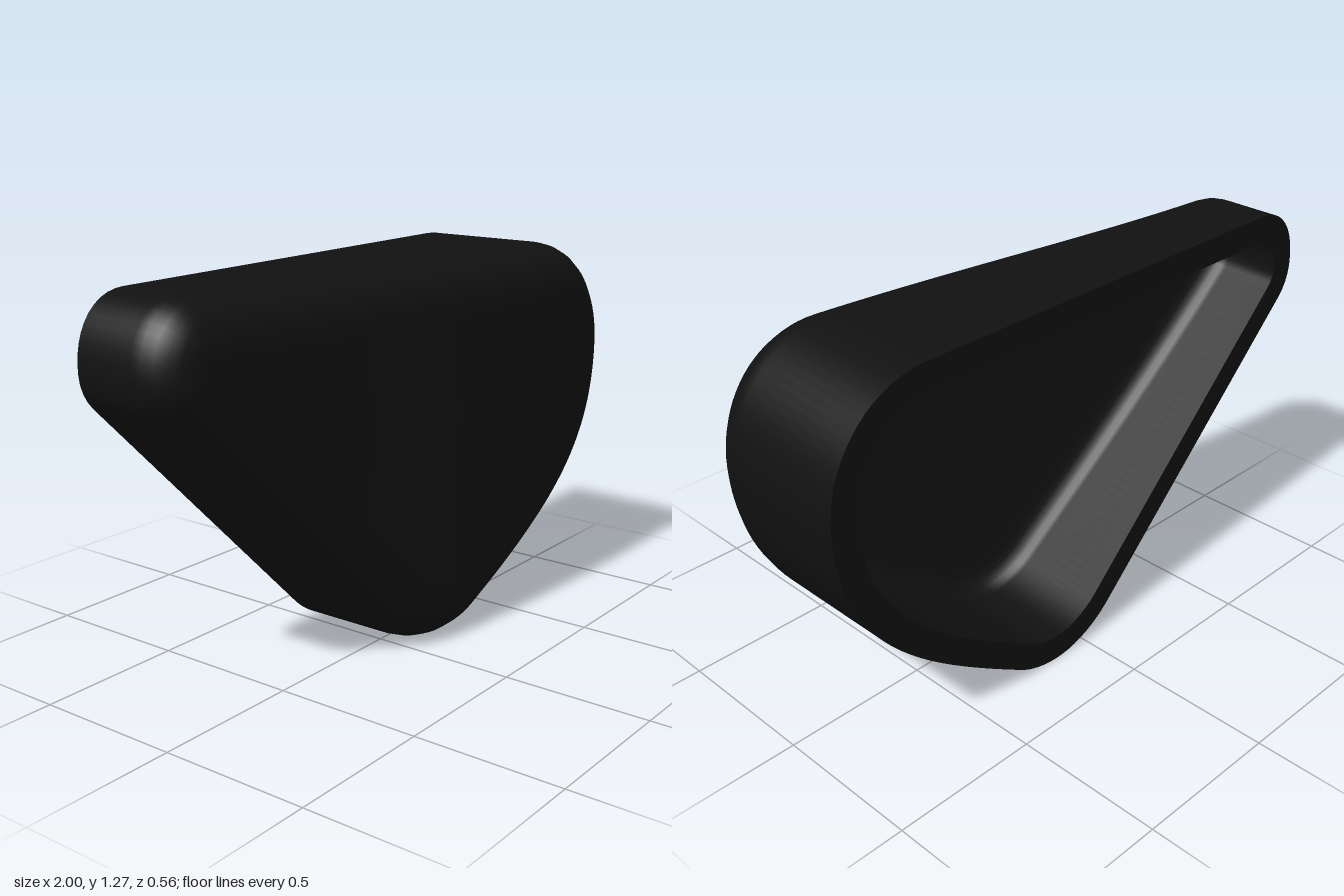
import * as THREE from 'three';

const BACK = -0.28;
const WALL = 0.09;
const CENTRE = new THREE.Vector2(0.2, 0.8);

// Rounded triangular outline, clockwise from the front
function makeOutline(count) {
  const s = new THREE.Shape();
  s.moveTo(-0.82, 1.275);
  s.lineTo(0.65, 1.275);
  s.bezierCurveTo(0.86, 1.275, 1, 1.1, 1, 0.9);
  s.bezierCurveTo(1, 0.5, 0.72, 0.3, 0.3, 0.045);
  s.bezierCurveTo(0.25, 0.015, 0.19, 0, 0.13, 0);
  s.bezierCurveTo(0.04, 0, -0.05, 0.045, -0.11, 0.105);
  s.lineTo(-0.95, 0.945);
  s.bezierCurveTo(-0.985, 0.98, -1, 1.02, -1, 1.07);
  s.bezierCurveTo(-1, 1.19, -0.93, 1.275, -0.82, 1.275);
  return s.getSpacedPoints(count).slice(0, count);
}

// Height of the front face: a gentle S-slope rising towards +x
const faceZ = (x) => 0.06 + 0.22 * THREE.MathUtils.smoothstep(x, -1.1, 1.0);

const outline = makeOutline(180);
const inward = outline.map((p, i) => {
  const n = outline.length;
  const d = outline[(i + 1) % n].clone().sub(outline[(i + n - 1) % n]).normalize();
  return new THREE.Vector2(d.y, -d.x);
});

// One ring: outline moved inwards, shrunk to the centre, set at a depth
function ring(inset, scale, depth) {
  return outline.map((p, i) => {
    const q = p.clone().addScaledVector(inward[i], inset);
    q.sub(CENTRE).multiplyScalar(scale).add(CENTRE);
    return [q.x, q.y, depth(q.x)];
  });
}

// Rings from the back edge, up the wall, round the fillet and over the face
function shellRings(inset, radius, lower) {
  const rings = [ring(inset, 1, () => BACK)];
  const steps = 6;
  for (let k = 0; k <= steps; k++) {
    const a = (k / steps) * Math.PI / 2;
    rings.push(ring(inset + radius * (1 - Math.cos(a)), 1,
      (x) => faceZ(x) - lower - radius * (1 - Math.sin(a))));
  }
  for (let k = 1; k <= 10; k++) {
    rings.push(ring(inset + radius, 1 - k / 10, (x) => faceZ(x) - lower));
  }
  return rings;
}

function loft(rings) {
  const n = outline.length;
  const index = [];
  for (let j = 0; j < rings.length - 1; j++) {
    for (let i = 0; i < n; i++) {
      const a = j * n + i, b = j * n + (i + 1) % n;
      index.push(a, a + n, b, b, a + n, b + n);
    }
  }
  const g = new THREE.BufferGeometry();
  g.setAttribute('position', new THREE.Float32BufferAttribute(rings.flat(2), 3));
  g.setIndex(index);
  g.computeVertexNormals();
  return g;
}

export function createModel() {
  const group = new THREE.Group();
  group.name = 'hollowCover';
  const material = new THREE.MeshStandardMaterial({ color: 0x111111 });
  const add = (name, rings) => {
    const mesh = new THREE.Mesh(loft(rings), material);
    mesh.name = name;
    group.add(mesh);
  };

  // Outer wall with rounded edge and sloping face
  add('outerShell', shellRings(0, 0.14, 0));
  // Flat rim around the open back
  add('backRim', [ring(WALL, 1, () => BACK), ring(0, 1, () => BACK)]);
  // Cavity wall and floor
  add('innerCavity', shellRings(WALL, 0.07, WALL).reverse());
  return group;
}
